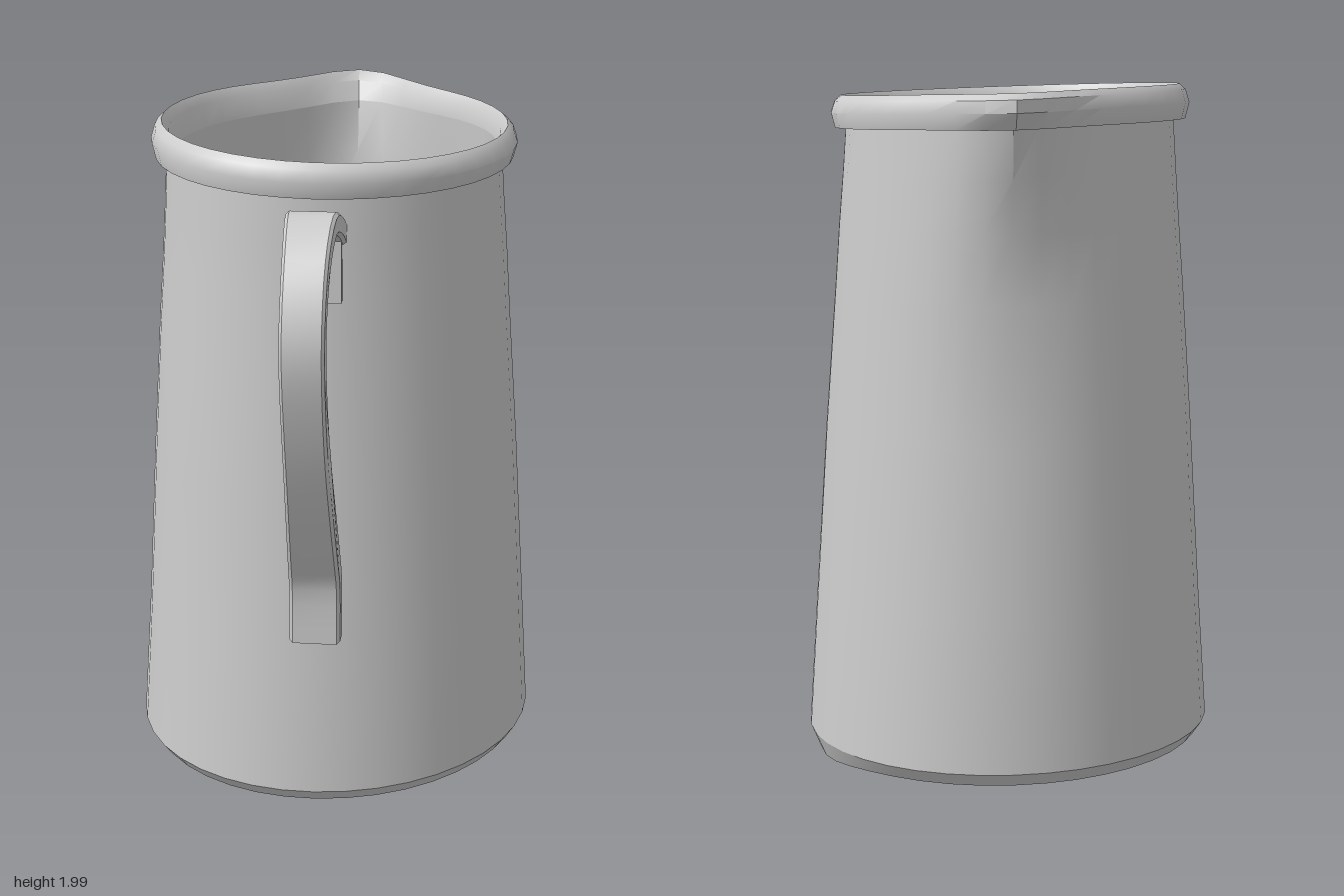
import * as THREE from 'three';
import { toCreasedNormals } from 'three/addons/utils/BufferGeometryUtils.js';

const SPOUT = -0.61;               // spout direction; the handle sits opposite
const HANDLE = Math.PI + SPOUT;
const SEGMENTS = 40;

// Bump that fades away from angle c
function bump(t, c, width) {
  const d = Math.atan2(Math.sin(t - c), Math.cos(t - c)) / width;
  return Math.exp(-d * d);
}

// Skin over elliptical rings; each ring is [y, cx, rx, rz, spout, wave, dip]
function ringSurface(rings) {
  const pos = [], index = [];
  for (const [y, cx, rx, rz, spout = 0, wave = 0, dip = 0] of rings) {
    for (let i = 0; i <= SEGMENTS; i++) {
      const t = (i / SEGMENTS) * Math.PI * 2;
      const pull = spout * bump(t, SPOUT, 0.33);
      pos.push(
        cx + rx * Math.cos(t) + pull * Math.cos(SPOUT),
        y + wave * Math.cos(t + 2.1) - dip * bump(t, 0.7, 0.4),
        rz * Math.sin(t) + pull * Math.sin(SPOUT)
      );
    }
  }
  const n = SEGMENTS + 1;
  for (let j = 0; j < rings.length - 1; j++) {
    for (let i = 0; i < SEGMENTS; i++) {
      const a = j * n + i, b = a + n;
      index.push(a, b, a + 1, b, b + 1, a + 1);
    }
  }
  const g = new THREE.BufferGeometry();
  g.setAttribute('position', new THREE.Float32BufferAttribute(pos, 3));
  g.setIndex(index);
  return toCreasedNormals(g, 0.6);
}

// Curved strap in the xy plane, narrowing towards its outermost point
function strapGeometry() {
  const path = new THREE.SplineCurve([
    [0.48, 1.77], [0.6, 1.83], [0.72, 1.86], [0.84, 1.79], [0.915, 1.66],
    [0.925, 1.52], [0.86, 1.3], [0.76, 1.08], [0.66, 0.88], [0.61, 0.77], [0.605, 0.6]
  ].map(([x, y]) => new THREE.Vector2(x, y)));
  const outer = [], inner = [], steps = 30, half = 0.022;
  for (let i = 0; i <= steps; i++) {
    const p = path.getPoint(i / steps), t = path.getTangent(i / steps);
    outer.push(new THREE.Vector2(p.x - t.y * half, p.y + t.x * half));
    inner.unshift(new THREE.Vector2(p.x + t.y * half, p.y - t.x * half));
  }
  const g = new THREE.ExtrudeGeometry(new THREE.Shape([...outer, ...inner]), {
    depth: 0.13, bevelEnabled: true, bevelThickness: 0.01, bevelSize: 0.008, bevelSegments: 1
  });
  g.translate(0, 0, -0.065);
  const p = g.attributes.position;
  for (let i = 0; i < p.count; i++) {
    const k = THREE.MathUtils.smoothstep(p.getX(i), 0.55, 0.93);
    p.setZ(i, p.getZ(i) * (1 - 0.2 * k));
  }
  return toCreasedNormals(g, 0.6);
}

export function createModel() {
  const model = new THREE.Group();
  const metal = new THREE.MeshStandardMaterial({ color: 0xcccccc });
  const add = (parent, name, geometry) => {
    const mesh = new THREE.Mesh(geometry, metal);
    mesh.name = name;
    parent.add(mesh);
    return mesh;
  };

  // Tapered outer wall flaring into the spout
  add(model, 'outerWall', ringSurface([
    [0.09, 0.09, 0.64, 0.592],
    [0.5, 0.09, 0.612, 0.565],
    [1.0, 0.085, 0.582, 0.533],
    [1.4, 0.08, 0.556, 0.503, 0],
    [1.6, 0.08, 0.542, 0.488, 0.035],
    [1.75, 0.077, 0.532, 0.476, 0.075],
    [1.9, 0.075, 0.524, 0.465, 0.125]
  ]));

  // Base with a chamfered edge and a slight low spot
  add(model, 'base', ringSurface([
    [0.045, 0.09, 0, 0],
    [0.042, 0.09, 0.56, 0.52, 0, 0, 0.038],
    [0.05, 0.09, 0.61, 0.565, 0, 0, 0.03],
    [0.09, 0.09, 0.64, 0.592]
  ]));

  // Rolled rim
  add(model, 'rim', ringSurface([
    [1.9, 0.075, 0.522, 0.463, 0.12],
    [1.885, 0.075, 0.552, 0.502, 0.14, 0.012],
    [1.93, 0.075, 0.562, 0.514, 0.165, 0.014],
    [1.965, 0.075, 0.55, 0.503, 0.175, 0.016],
    [1.982, 0.075, 0.53, 0.485, 0.165, 0.016],
    [1.955, 0.075, 0.51, 0.465, 0.15, 0.014],
    [1.9, 0.075, 0.506, 0.453, 0.12]
  ]));

  // Inner wall and floor
  add(model, 'innerWall', ringSurface([
    [1.9, 0.075, 0.506, 0.453, 0.12],
    [1.75, 0.077, 0.514, 0.46, 0.07],
    [1.6, 0.08, 0.524, 0.472, 0.03],
    [1.4, 0.08, 0.538, 0.487],
    [0.09, 0.09, 0.622, 0.574]
  ]));
  add(model, 'floor', ringSurface([
    [0.09, 0.09, 0.622, 0.574],
    [0.085, 0.09, 0, 0]
  ]));

  // Handle opposite the spout, with a fixing plate at its top
  const handle = new THREE.Group();
  handle.name = 'handle';
  handle.position.x = 0.08;
  handle.rotation.y = -HANDLE;
  model.add(handle);
  add(handle, 'handleStrap', strapGeometry());
  const plate = add(handle, 'fixingPlate', new THREE.BoxGeometry(0.03, 0.22, 0.13));
  plate.position.set(0.525, 1.7, 0);

  return model;
}
